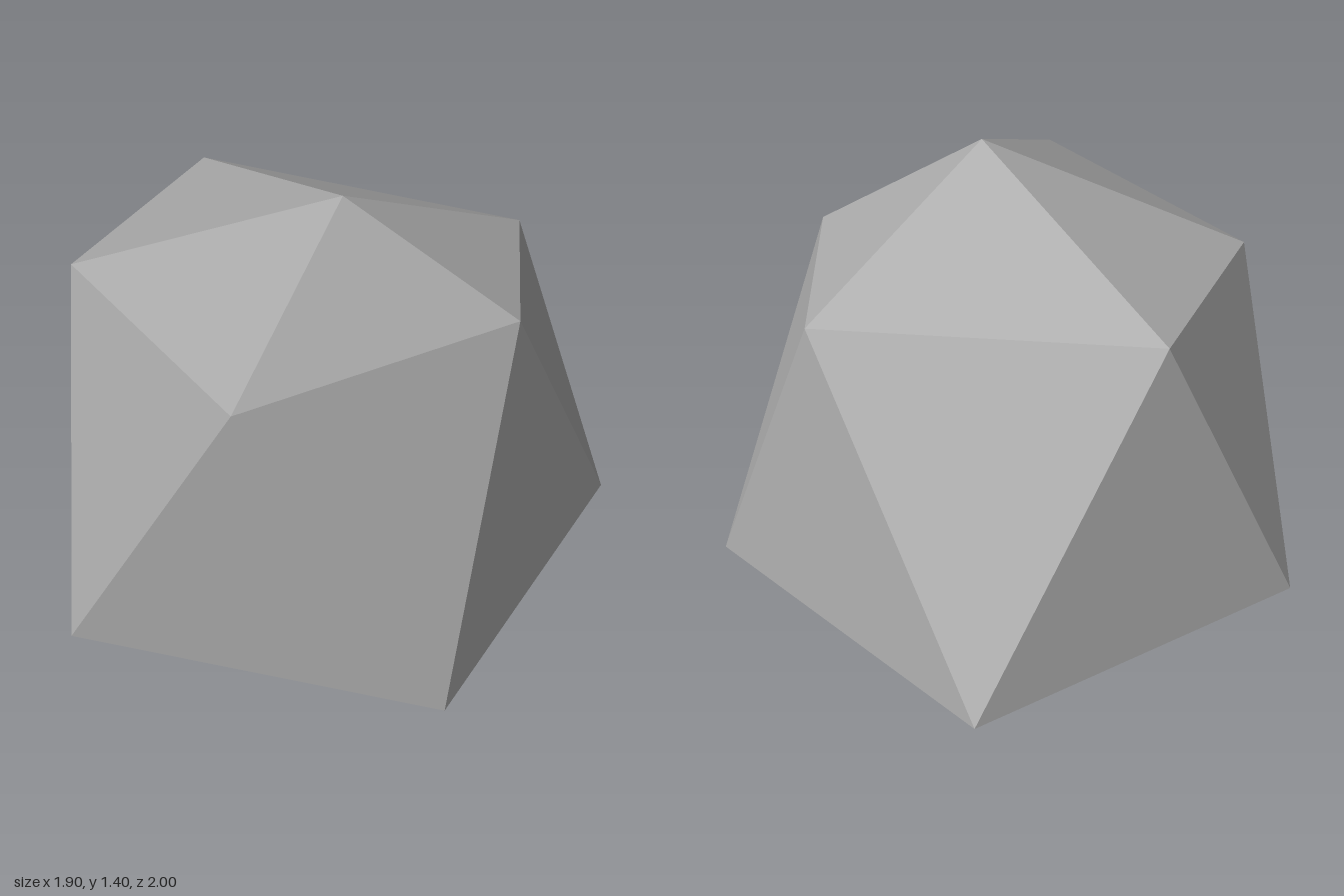
import * as THREE from 'three';

// Faceted boulder: a squashed icosahedron with an apex, two rings of five and a hollow base
export function createModel() {
  const group = new THREE.Group();
  const stoneGrey = new THREE.MeshStandardMaterial({ color: 0xa8a8a8 });
  stoneGrey.name = 'stoneGrey';

  const apex = [0.27, 1.4, 0.15];
  const shoulder = [
    [0.33, 1.06, 0.84], [0.81, 1.06, 0], [0.54, 1.03, -0.57],
    [-0.55, 1.08, -0.28], [-0.55, 1.04, 0.46],
  ];
  // Regular pentagon on the ground
  const foot = shoulder.map((_, i) => {
    const a = Math.PI / 5 - (i * Math.PI * 2) / 5;
    return [0.1 + 1.05 * Math.cos(a), 0, 1.05 * Math.sin(a)];
  });
  const hollow = [0.1, 0.09, 0];

  // Cap, zigzag sides and underside, one fifth at a time
  const points = [];
  for (let i = 0; i < 5; i++) {
    const j = (i + 1) % 5;
    points.push(
      apex, shoulder[i], shoulder[j],
      shoulder[i], foot[i], shoulder[j],
      foot[i], foot[j], shoulder[j],
      hollow, foot[j], foot[i],
    );
  }
  const geometry = new THREE.BufferGeometry();
  geometry.setAttribute('position', new THREE.Float32BufferAttribute(points.flat(), 3));
  geometry.computeVertexNormals(); // unshared corners give flat facets

  const boulder = new THREE.Mesh(geometry, stoneGrey);
  boulder.name = 'boulder';
  group.add(boulder);
  return group;
}
